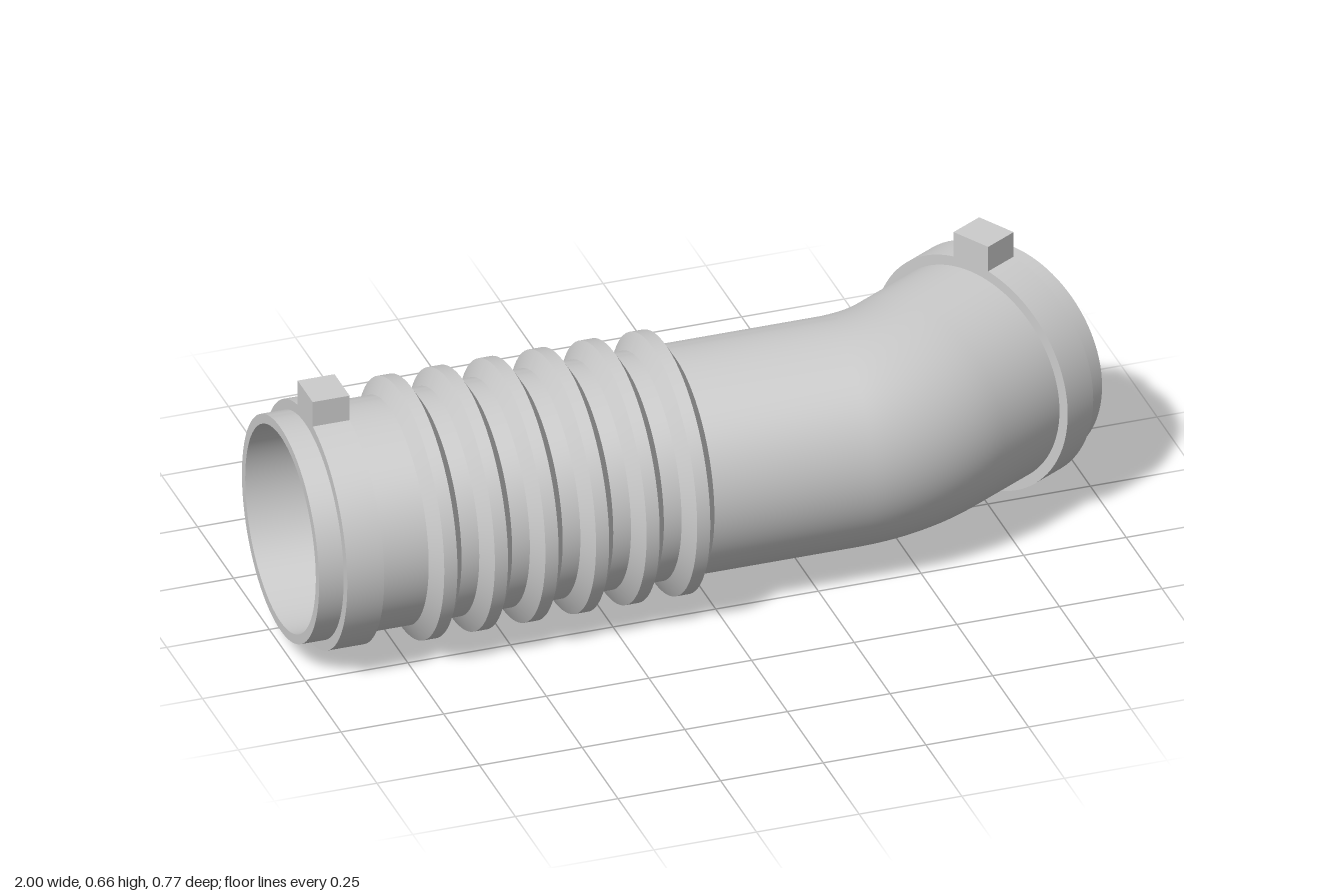
import * as THREE from 'three';
import { toCreasedNormals } from 'three/addons/utils/BufferGeometryUtils.js';

const AXIS_Y = 0.309, AXIS_Z = 0.078;
const STRAIGHT = 1.352, BEND_R = 0.43, BEND = Math.PI / 6, TAIL = 0.345;
const ARC = BEND_R * BEND, LENGTH = STRAIGHT + ARC + TAIL;
const OUTER = 0.269, INNER = 0.246, RIB = 0.309, CLAMP = 0.294;

// Centre and heading of the hose axis at distance s from its left-hand end
function frameAt(s) {
  const a = THREE.MathUtils.clamp((s - STRAIGHT) / BEND_R, 0, BEND);
  const lead = Math.min(s, STRAIGHT), tail = Math.max(0, s - STRAIGHT - ARC);
  return {
    a,
    x: -1 + lead + BEND_R * Math.sin(a) + tail * Math.cos(a),
    z: AXIS_Z - BEND_R * (1 - Math.cos(a)) - tail * Math.sin(a),
  };
}

// Sweeps a closed profile of [distance, radius] points around the hose axis
function sweep(profile, sides = 96) {
  const pos = [], index = [], n = profile.length;
  for (const [s, r] of profile) {
    const f = frameAt(s);
    for (let j = 0; j < sides; j++) {
      const t = (j / sides) * Math.PI * 2, side = r * Math.sin(t);
      pos.push(f.x + side * Math.sin(f.a), AXIS_Y + r * Math.cos(t), f.z + side * Math.cos(f.a));
    }
  }
  for (let i = 0; i < n; i++) {
    const k = (i + 1) % n;
    for (let j = 0; j < sides; j++) {
      const m = (j + 1) % sides;
      const a = i * sides + j, b = k * sides + j, c = i * sides + m, d = k * sides + m;
      index.push(a, c, b, b, c, d);
    }
  }
  const g = new THREE.BufferGeometry();
  g.setAttribute('position', new THREE.Float32BufferAttribute(pos, 3));
  g.setIndex(index);
  return toCreasedNormals(g, 0.45);
}

export function createModel() {
  const group = new THREE.Group();
  const grey = new THREE.MeshStandardMaterial({ color: 0xcccccc });
  grey.name = 'grey';
  const add = (parent, name, geometry) => {
    const mesh = new THREE.Mesh(geometry, grey);
    mesh.name = name;
    parent.add(mesh);
    return mesh;
  };

  // Hose wall: ribs on the straight run, then a smooth bend, then the bore back
  const outer = [[0, OUTER]];
  for (let i = 0; i < 6; i++) {
    const c = 0.307 + i * 0.1232;
    outer.push([c - 0.04, OUTER], [c - 0.016, RIB], [c + 0.016, RIB], [c + 0.04, OUTER]);
  }
  const bend = [];
  for (let i = 0; i <= 16; i++) bend.push(STRAIGHT + (ARC * i) / 16);
  bend.forEach((s) => outer.push([s, OUTER]));
  outer.push([LENGTH, OUTER]);
  const bore = [0, ...bend, LENGTH].reverse().map((s) => [s, INNER]);
  add(group, 'hose', sweep([...outer, ...bore]));

  // A band clamp with a square screw housing near each end
  for (const [name, s] of [['rightClamp', 0.105], ['leftClamp', LENGTH - 0.105]]) {
    const clamp = new THREE.Group();
    clamp.name = name;
    const h = 0.045, r = OUTER - 0.008;
    add(clamp, 'band', sweep([[s - h, CLAMP], [s + h, CLAMP], [s + h, r], [s - h, r]]));
    const f = frameAt(s);
    const box = add(clamp, 'screwHousing', new THREE.BoxGeometry(0.09, 0.083, 0.105));
    box.position.set(f.x, 0.6215, f.z);
    box.rotation.y = f.a;
    group.add(clamp);
  }
  return group;
}
